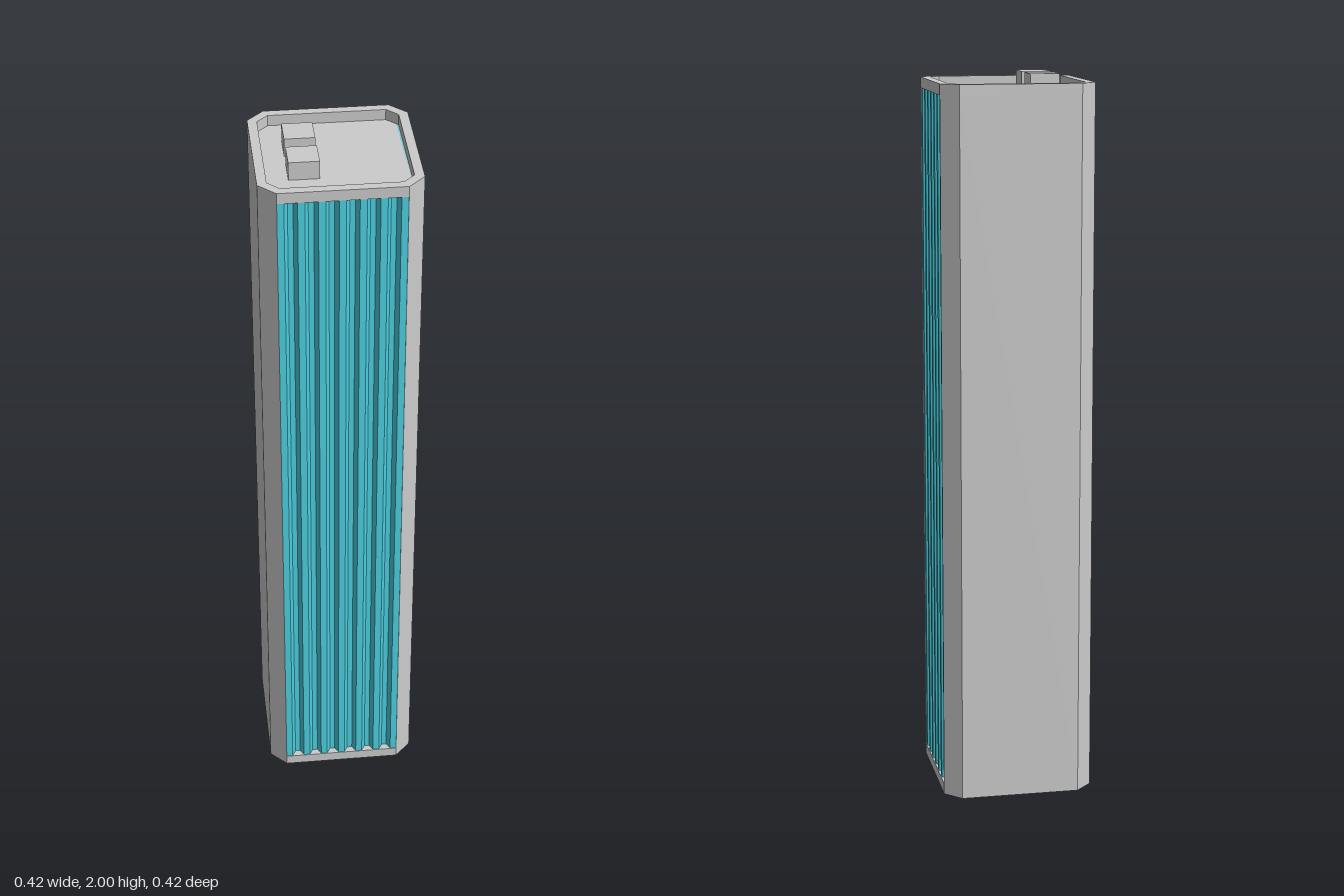
import * as THREE from 'three';

const grey = new THREE.MeshStandardMaterial({ color: 0xcccccc, flatShading: true });
const glass = new THREE.MeshStandardMaterial({ color: 0x4dd0e1, flatShading: true });

// Half width, chamfer start, roof/band levels
const W = 0.21, C = 0.165, INNER = 0.185, INNER_C = 0.155;
const BASE = 0.03, ROOF = 1.95, TOP = 1.98;

// Plan points are [x, z]; the shape is raised along y
const plan = (pts) => pts.map(([x, z]) => new THREE.Vector2(x, -z));
const octagon = (w, c) => plan([
  [-c, w], [c, w], [w, c], [w, -c], [c, -w], [-c, -w], [-w, -c], [-w, c],
]);

function raise(name, pts, y0, y1, material, hole) {
  const shape = new THREE.Shape(pts);
  if (hole) shape.holes.push(new THREE.Path(hole));
  const geo = new THREE.ExtrudeGeometry(shape, { depth: y1 - y0, bevelEnabled: false });
  geo.rotateX(-Math.PI / 2).translate(0, y0, 0);
  const mesh = new THREE.Mesh(geo, material);
  mesh.name = name;
  return mesh;
}

// Plan of a ribbed window panel facing +z: seven ridges, six valleys
function ribbedPlan() {
  const ridge = 0.018, valley = 0.014, slope = 0.01, out = 0.208, back = 0.19;
  const pts = [[-C, INNER - 0.005]];
  let x = -C;
  for (let i = 0; i < 7; i++) {
    pts.push([x, out], [x + ridge, out]);
    x += ridge + slope;
    if (i < 6) pts.push([x, back], [x + valley, back]);
    x += valley + slope;
  }
  pts.push([C, INNER - 0.005]);
  return plan(pts);
}

export function createModel() {
  const tower = new THREE.Group();
  tower.name = 'tower';

  // Shaft, recessed on the front and +x sides between the corner posts
  const shaft = plan([
    [-C, W], [-C, INNER], [C, INNER], [C, W], [W, C], [INNER, C], [INNER, -C], [W, -C],
    [C, -W], [-C, -W], [-W, -C], [-W, C],
  ]);
  tower.add(raise('shaft', shaft, BASE, ROOF, grey));
  tower.add(raise('base', octagon(W, C), 0, BASE, grey));
  tower.add(raise('parapet', octagon(W, C), ROOF, TOP, grey, octagon(INNER, INNER_C)));

  // Ribbed windows on two adjacent sides
  ['frontWindows', 'leftWindows'].forEach((name, i) => {
    const panel = raise(name, ribbedPlan(), BASE, ROOF, glass);
    panel.rotation.y = i * Math.PI / 2;
    tower.add(panel);
  });

  // Roof units
  for (const z of [-0.062, 0.058]) {
    const unit = new THREE.Mesh(new THREE.BoxGeometry(0.08, 2 - ROOF, 0.08), grey);
    unit.name = 'roofUnit';
    unit.position.set(-0.086, (2 + ROOF) / 2, z);
    tower.add(unit);
  }
  return tower;
}
